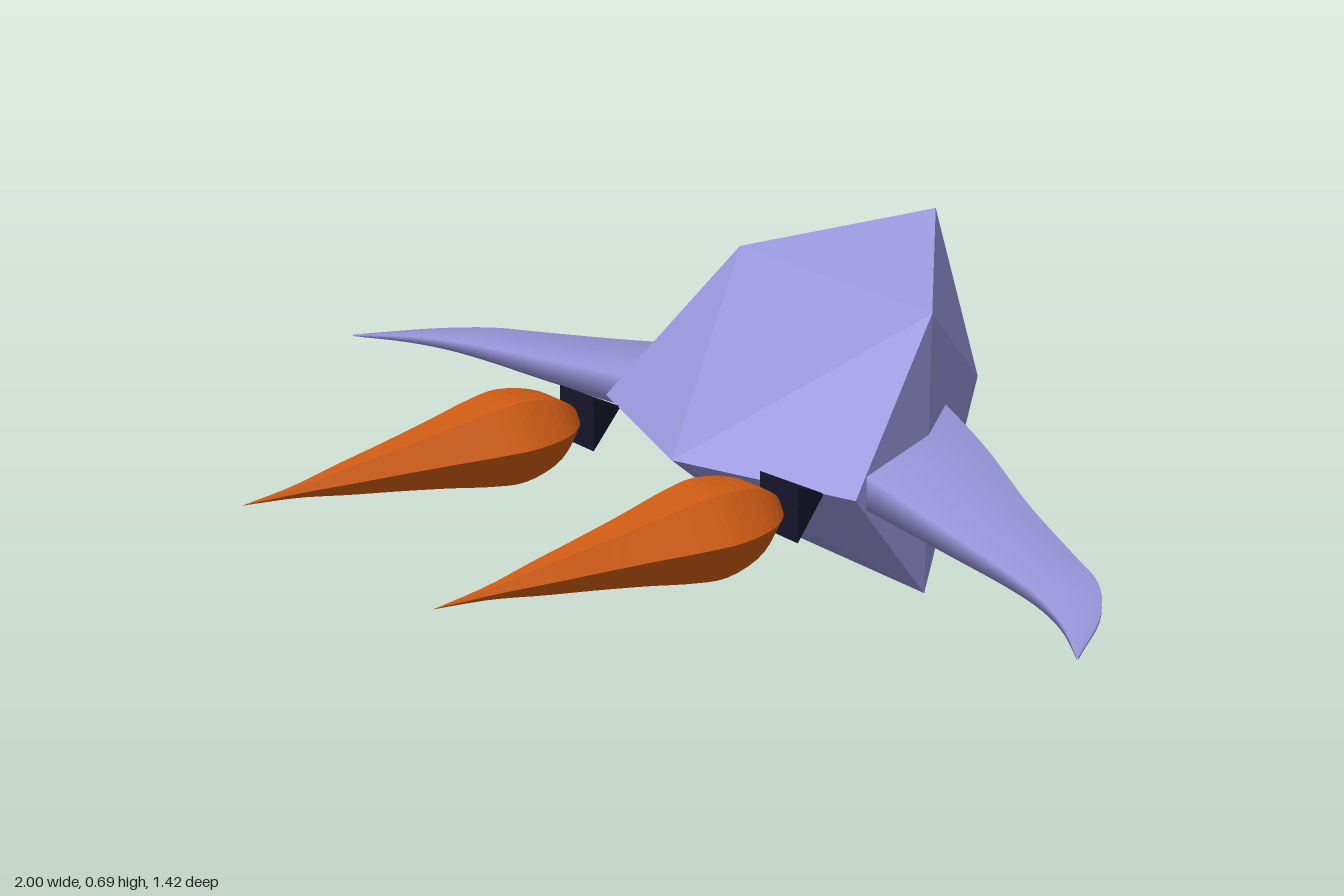
import * as THREE from 'three';
import { ConvexGeometry } from 'three/addons/geometries/ConvexGeometry.js';

const V = (x, y, z) => new THREE.Vector3(x, y, z);
const material = (color, flatShading) => new THREE.MeshStandardMaterial({ color, flatShading });

// Faceted hull: a tetrahedron whose edge midpoints are pushed outwards
function hullGeometry() {
  const points = [V(0, 0, 0.365), V(0, 0, -0.365)];
  for (const s of [-1, 1]) {
    points.push(V(0, s * 0.347, -0.245), V(s * 0.347, 0, 0.245));
    points.push(V(s * 0.26, 0.26, 0), V(s * 0.26, -0.26, 0));
  }
  return new ConvexGeometry(points).translate(0, 0.35, -0.355);
}

// Swept wing: four-cornered sections tapering to a curved tip, softly shaded
function wingGeometry(side) {
  const back = new THREE.CatmullRomCurve3([V(0.06, 0, -0.51), V(0.17, 0, -0.475), V(0.35, 0, -0.405),
    V(0.57, 0, -0.3), V(0.74, 0, -0.232), V(0.83, 0, -0.195), V(0.91, 0, -0.122), V(1, 0, 0.018)]);
  const front = new THREE.CatmullRomCurve3([V(0.06, 0, -0.175), V(0.17, 0, -0.165), V(0.35, 0, -0.143),
    V(0.57, 0, -0.115), V(0.74, 0, -0.093), V(0.83, 0, -0.072), V(0.91, 0, -0.038), V(1, 0, 0.02)]);
  const steps = 32, positions = [], index = [];
  for (let i = 0; i <= steps; i++) {
    const b = back.getPoint(i / steps), f = front.getPoint(i / steps);
    const bottom = 0.322;
    const top = (p) => bottom + 0.003 + 0.086 * (1 - p.x);
    for (const [p, y] of [[b, bottom], [f, bottom], [f, top(f)], [b, top(b)]]) {
      positions.push(side * p.x, y, p.z);
    }
    if (i === steps) break;
    for (let j = 0; j < 4; j++) {
      const a = i * 4 + j, c = i * 4 + (j + 1) % 4;
      if (side > 0) index.push(a, a + 4, c, c, a + 4, c + 4);
      else index.push(a, c, a + 4, c, c + 4, a + 4);
    }
  }
  const geometry = new THREE.BufferGeometry();
  geometry.setAttribute('position', new THREE.Float32BufferAttribute(positions, 3));
  geometry.setIndex(index);
  geometry.computeVertexNormals();
  return geometry;
}

// Six-sided flame, round near the nozzle and drawn out to a point
function flameGeometry() {
  const outline = new THREE.SplineCurve([[0, 0], [0.036, 0.025], [0.07, 0.075], [0.087, 0.15], [0.08, 0.22],
    [0.062, 0.31], [0.044, 0.41], [0.029, 0.5], [0.011, 0.6], [0, 0.705]].map(([r, z]) => new THREE.Vector2(r, z)));
  const points = outline.getPoints(30).map((p) => new THREE.Vector2(Math.max(p.x, 0), p.y));
  return new THREE.LatheGeometry(points, 6, Math.PI / 6).rotateX(Math.PI / 2);
}

export function createModel() {
  const model = new THREE.Group();
  model.name = 'spacecraft';
  const purple = 0x9a96dc, orange = 0xd05c14, dark = 0x17172c;
  const add = (name, geometry, mat, x = 0, y = 0, z = 0) => {
    const mesh = new THREE.Mesh(geometry, mat);
    mesh.name = name;
    mesh.position.set(x, y, z);
    model.add(mesh);
  };

  add('hull', hullGeometry(), material(purple, true));

  // Wings, nozzles and flames in mirrored pairs
  for (const [label, side] of [['left', 1], ['right', -1]]) {
    add(label + 'Wing', wingGeometry(side), material(purple, false));
    const nozzle = new THREE.ConeGeometry(0.0707, 0.1, 4).rotateY(Math.PI / 4).rotateX(-Math.PI / 2);
    add(label + 'Nozzle', nozzle, material(dark, true), side * 0.283, 0.348, -0.045);
    add(label + 'Flame', flameGeometry(), material(orange, true), side * 0.283, 0.347, 0);
  }
  return model;
}
